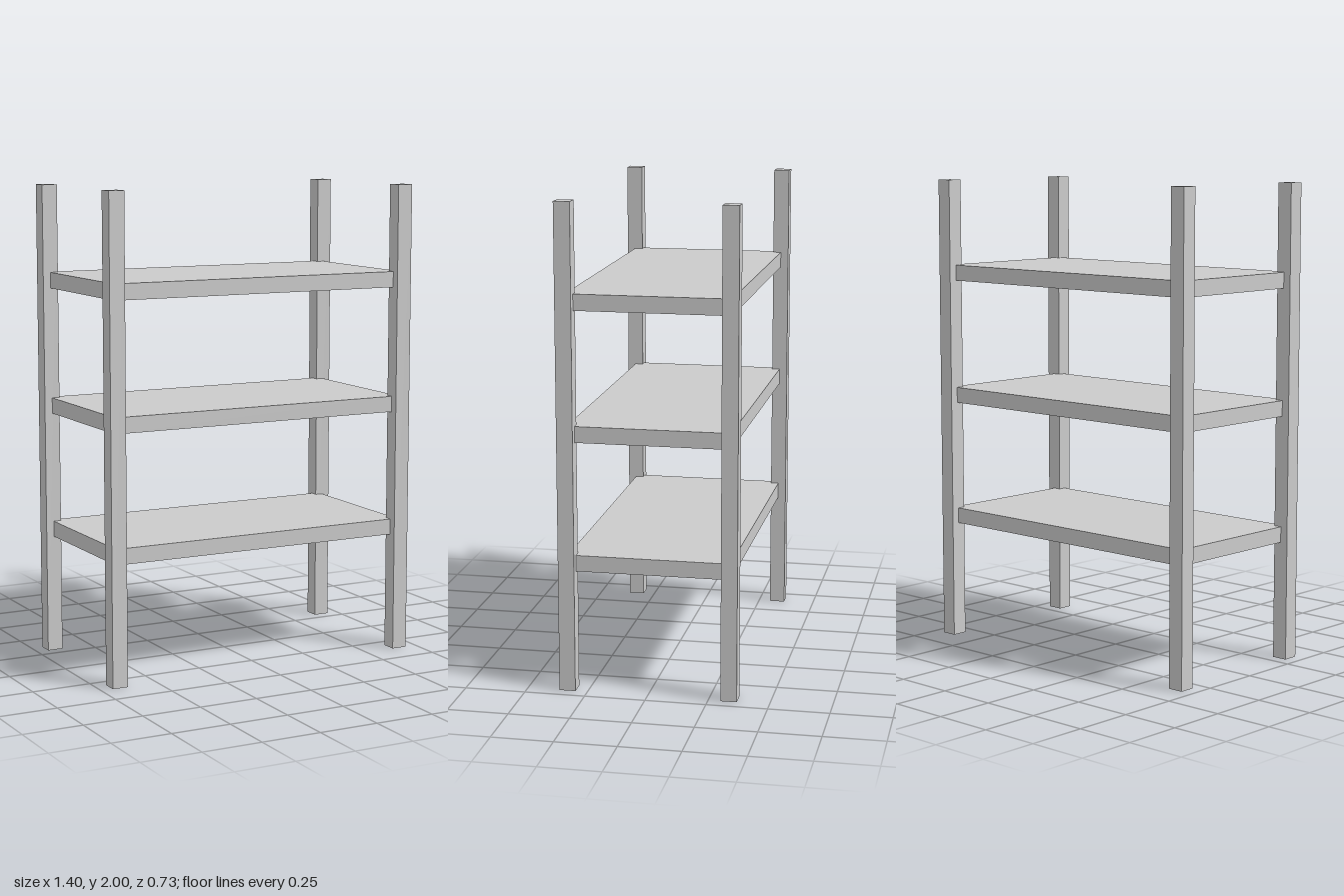
import * as THREE from 'three';

const WIDTH = 1.333, DEPTH = 0.667, HEIGHT = 2, THICK = 0.0667;

export function createModel() {
  const model = new THREE.Group();
  model.name = 'shelvingUnit';
  const material = new THREE.MeshStandardMaterial({ color: 0xcccccc, flatShading: true });

  const addBox = (name, size, position) => {
    const mesh = new THREE.Mesh(new THREE.BoxGeometry(...size), material);
    mesh.name = name;
    mesh.position.set(...position);
    model.add(mesh);
  };

  // Square corner posts, centred on the shelf corners
  for (const [xName, x] of [['Left', 1], ['Right', -1]]) {
    for (const [zName, z] of [['front', 1], ['back', -1]]) {
      addBox(`${zName}${xName}Post`, [THICK, HEIGHT, THICK],
        [x * WIDTH / 2, HEIGHT / 2, z * DEPTH / 2]);
    }
  }

  // Three evenly spaced shelves
  for (const [name, y] of [['lowerShelf', 0.533], ['middleShelf', 1.067], ['upperShelf', 1.6]]) {
    addBox(name, [WIDTH, THICK, DEPTH], [0, y, 0]);
  }

  return model;
}
